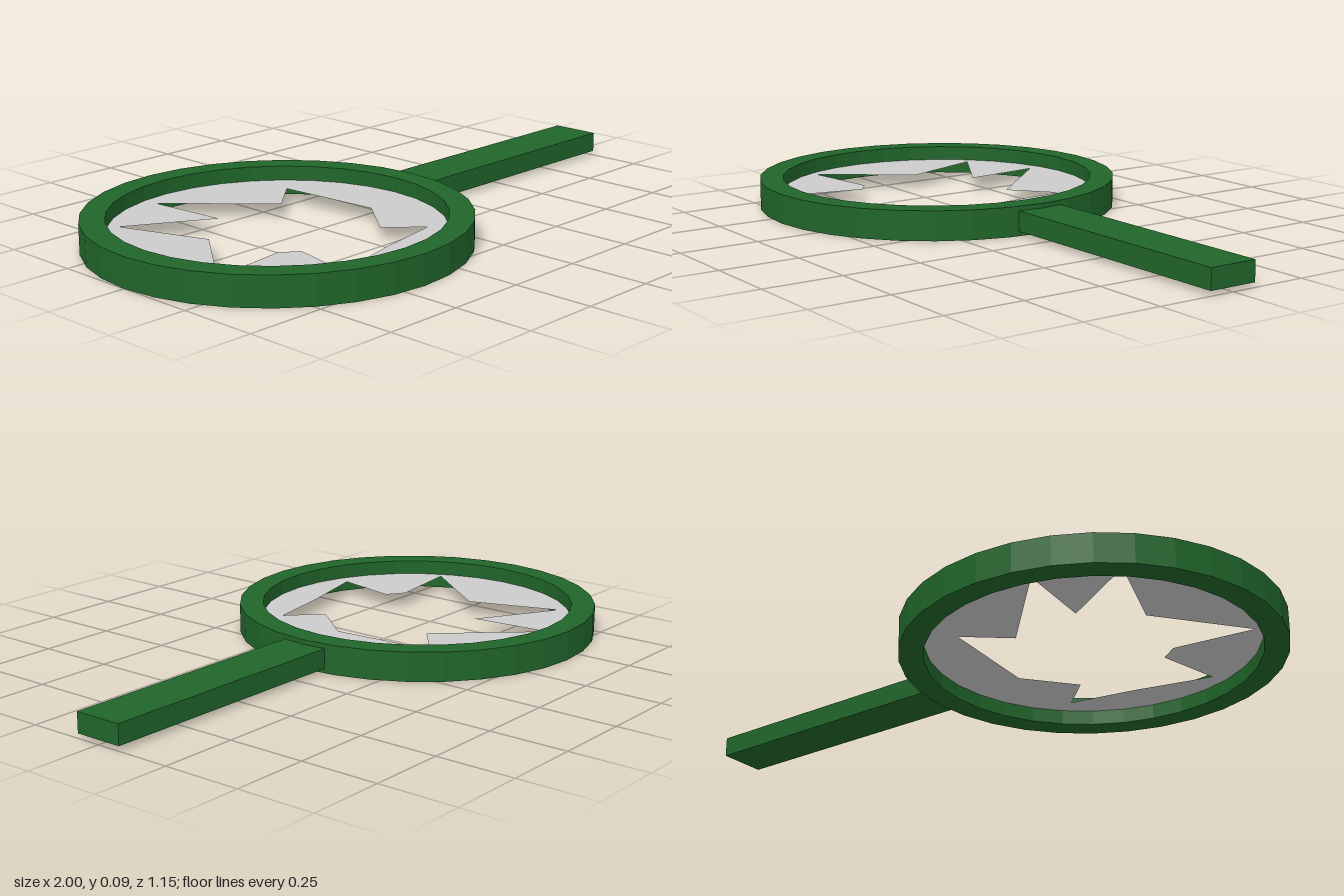
import * as THREE from 'three';

const CENTRE_X = -0.425;
const OUTER = 0.575, INNER = 0.5, HEIGHT = 0.092, SIDES = 32;

export function createModel() {
  const model = new THREE.Group();
  const green = new THREE.MeshStandardMaterial({ color: 0x20652a, flatShading: true });
  const paper = new THREE.MeshStandardMaterial({ color: 0xcccccc, side: THREE.DoubleSide });

  const add = (name, geometry, material, x, y) => {
    const mesh = new THREE.Mesh(geometry, material);
    mesh.name = name;
    mesh.position.set(x, y, 0);
    model.add(mesh);
  };

  // Round frame with a rectangular section
  const section = [[INNER, 0], [OUTER, 0], [OUTER, HEIGHT], [INNER, HEIGHT], [INNER, 0]]
    .map(([r, y]) => new THREE.Vector2(r, y));
  add('frame', new THREE.LatheGeometry(section, SIDES), green, CENTRE_X, 0);

  // Straight handle, its end sunk into the frame
  add('handle', new THREE.BoxGeometry(0.89, 0.063, 0.157), green, 0.555, 0.046);

  // Thin sheet across the frame, as (x, z) outlines
  const sheet = new THREE.Shape();
  for (let i = 0; i < SIDES; i++) {
    const a = (i / SIDES) * Math.PI * 2;
    const x = INNER * Math.cos(a), z = INNER * Math.sin(a);
    if (i) sheet.lineTo(x, z); else sheet.moveTo(x, z);
  }

  // Jagged tear through the sheet
  const tear = [
    [-0.515, -0.44], [-0.26, -0.16], [-0.13, -0.27], [-0.105, 0.07], [-0.23, 0.225],
    [-0.13, 0.32], [-0.345, 0.36], [-0.585, 0.42], [-0.54, 0.215], [-0.595, 0.175],
    [-0.85, 0.21], [-0.645, -0.055], [-0.745, -0.335], [-0.49, -0.185],
  ].map(([x, z]) => new THREE.Vector2(x - CENTRE_X, z));
  sheet.holes.push(new THREE.Path(tear));
  add('tornSheet', new THREE.ShapeGeometry(sheet).rotateX(Math.PI / 2), paper, CENTRE_X, HEIGHT / 2);
  // Let the upper face be the front face
  const index = model.getObjectByName('tornSheet').geometry;
  index.setIndex(Array.from(index.index.array).reverse());
  index.computeVertexNormals();

  return model;
}
